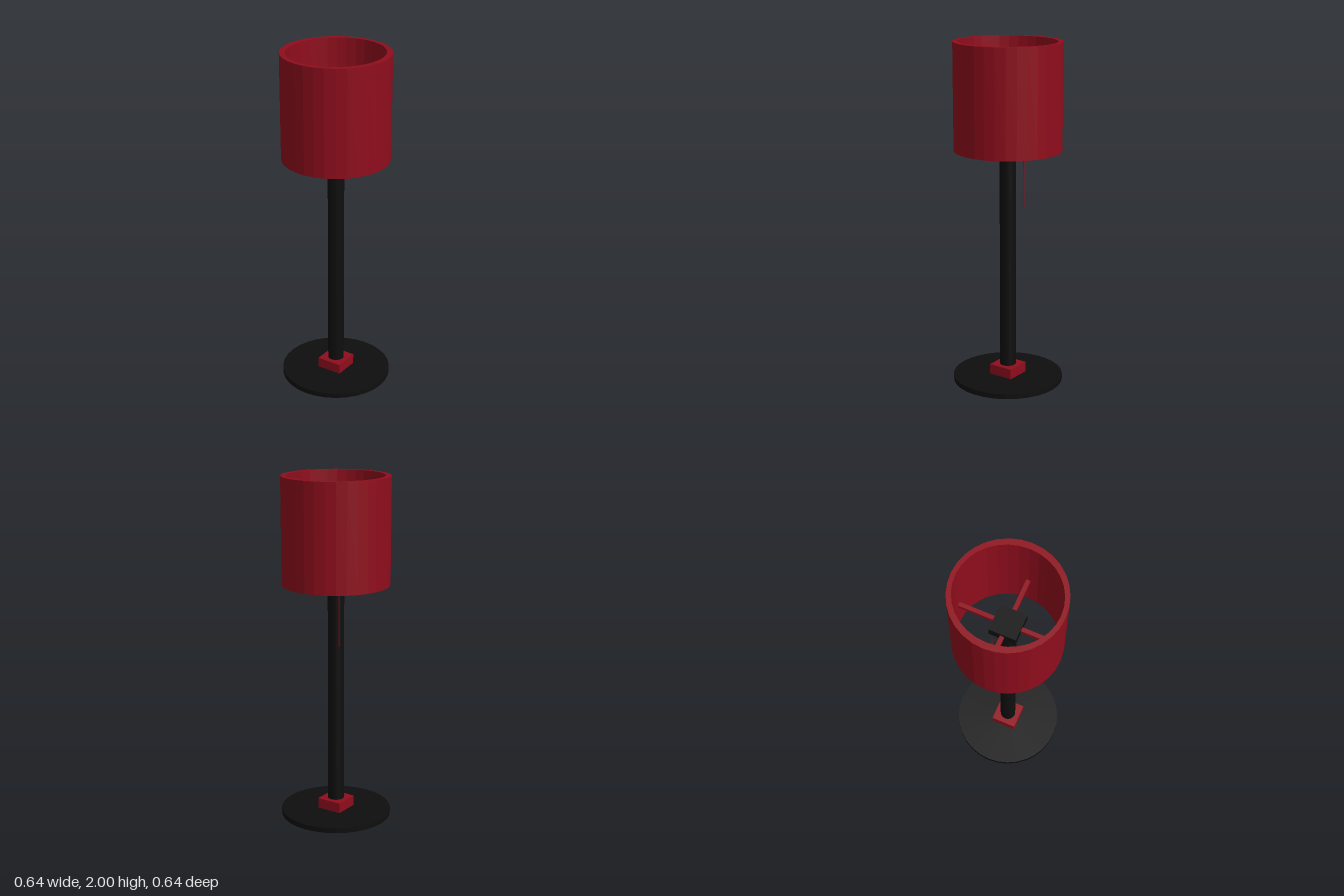
import * as THREE from 'three';

const SIDES = 32;

// closed ring of points on an ellipse
function ring(rx, rz) {
  return Array.from({ length: SIDES }, (_, i) => {
    const a = (i / SIDES) * Math.PI * 2;
    return new THREE.Vector2(Math.cos(a) * rx, Math.sin(a) * rz);
  });
}

export function createModel() {
  const group = new THREE.Group();
  const red = new THREE.MeshStandardMaterial({ color: 0x8f0d1c, flatShading: true });
  const black = new THREE.MeshStandardMaterial({ color: 0x0e0e0e, flatShading: true });

  const add = (name, geometry, material, x, y, z) => {
    const mesh = new THREE.Mesh(geometry, material);
    mesh.name = name;
    mesh.position.set(x, y, z);
    group.add(mesh);
    return mesh;
  };

  // foot and pole
  add('base', new THREE.CylinderGeometry(0.322, 0.322, 0.03, SIDES), black, 0, 0.015, 0);
  add('baseBlock', new THREE.BoxGeometry(0.152, 0.06, 0.152), red, 0, 0.06, 0);
  add('pole', new THREE.CylinderGeometry(0.047, 0.047, 1.6, SIDES), black, 0, 0.83, 0);

  // hub that carries the shade
  add('hub', new THREE.BoxGeometry(0.156, 0.06, 0.156), black, 0, 1.61, 0);

  // four spokes from the hub to the shade wall
  for (let i = 0; i < 4; i++) {
    const a = (i * Math.PI) / 2;
    const spoke = add('spoke', new THREE.BoxGeometry(0.225, 0.024, 0.024), red,
      Math.cos(a) * 0.182, 1.61, -Math.sin(a) * 0.182);
    spoke.rotation.y = a;
  }

  // open, thick-walled shade
  const wall = new THREE.Shape(ring(0.309, 0.309));
  wall.holes.push(new THREE.Path(ring(0.273, 0.284)));
  const shade = new THREE.ExtrudeGeometry(wall, { depth: 0.615, bevelEnabled: false });
  shade.rotateX(-Math.PI / 2);
  add('shade', shade, red, 0, 1.385, 0);

  // pull cord hanging from a corner of the hub
  add('pullCord', new THREE.CylinderGeometry(0.003, 0.003, 0.54, 8), red, -0.066, 1.31, -0.066);

  return group;
}
